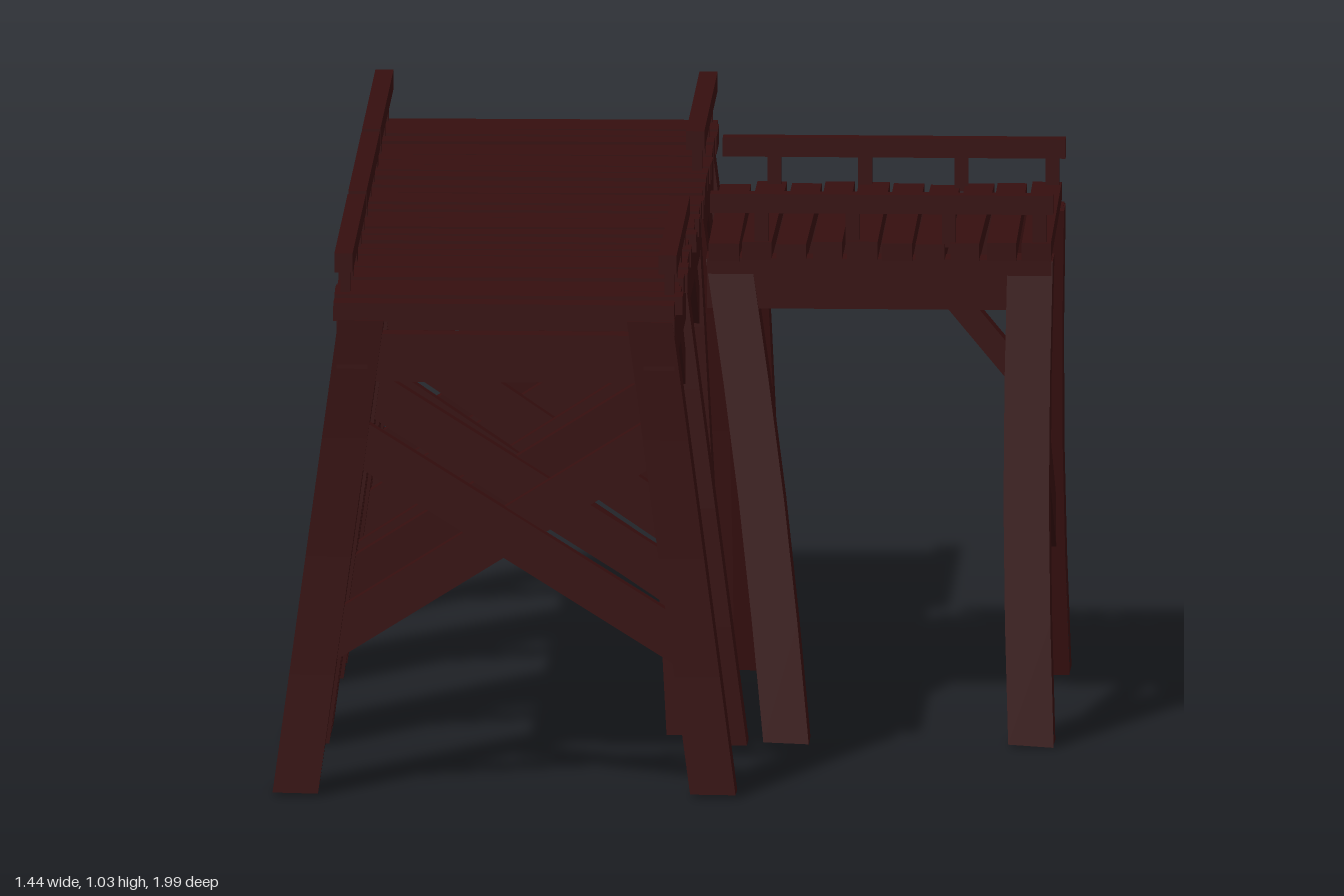
import * as THREE from 'three';

const wood = new THREE.MeshStandardMaterial({ color: 0x350e0e, flatShading: true });
const V = (x, y, z) => new THREE.Vector3(x, y, z);
const LEG_TOP = 0.91, LEG_FOOT = 0.01;

// Small seeded generator for hand-cut irregularity, -1..1
let seed = 7;
const jitter = (amount) => {
  seed = (seed * 16807) % 2147483647;
  return (seed / 2147483647 * 2 - 1) * amount;
};

function add(parent, name, geometry) {
  const mesh = new THREE.Mesh(geometry, wood);
  mesh.name = name;
  parent.add(mesh);
  return mesh;
}

// Straight timber from a to b: thick is sideways, high is upright
function timber(parent, name, a, b, thick, high) {
  const mesh = add(parent, name, new THREE.BoxGeometry(thick, high, a.distanceTo(b)));
  mesh.position.copy(a).lerp(b, 0.5);
  mesh.quaternion.setFromUnitVectors(V(0, 0, 1), V(0, 0, 1));
  const m = new THREE.Matrix4().lookAt(b, a, V(0, 1, 0));
  mesh.quaternion.setFromRotationMatrix(m);
  return mesh;
}

// Centre line of a splayed leg at height y, with a slight bow
function legPoint(leg, y) {
  const t = (LEG_TOP - y) / (LEG_TOP - LEG_FOOT);
  const bow = Math.sin(Math.PI * t) * 0.008;
  return V(
    THREE.MathUtils.lerp(leg.topX, leg.footX, t),
    y,
    THREE.MathUtils.lerp(leg.topZ, leg.footZ, t) - Math.sign(leg.topZ) * bow
  );
}

function addLeg(parent, leg) {
  const h = LEG_TOP - LEG_FOOT;
  const g = new THREE.BoxGeometry(0.085, h, 0.085, 1, 4, 1);
  g.translate(0, LEG_FOOT + h / 2, 0);
  const p = g.attributes.position;
  for (let i = 0; i < p.count; i++) {
    const c = legPoint(leg, p.getY(i));
    p.setX(i, p.getX(i) + c.x);
    p.setZ(i, p.getZ(i) + c.z);
    // Feet of leaning legs are cut a little askew
    if (p.getY(i) < 0.02) p.setY(i, LEG_FOOT + jitter(0.004));
  }
  add(parent, 'leg', g);
}

// One trestle platform, running along z; feet gives each foot's [x, z]
function makeSection(name, feet, railSides) {
  const section = new THREE.Group();
  section.name = name;

  const legs = feet.map(([footX, footZ]) => ({
    topX: Math.sign(footX) * 0.27, topZ: Math.sign(footZ) * 0.282, footX, footZ
  }));
  legs.forEach((leg) => addLeg(section, leg));

  // End frames: cross beam and crossed braces between each pair of legs
  for (const [l, r] of [[legs[0], legs[1]], [legs[2], legs[3]]]) {
    timber(section, 'crossBeam', legPoint(l, 0.835), legPoint(r, 0.835), 0.045, 0.09);
    for (const [from, to, dz] of [[l, r, 0.012], [r, l, -0.012]]) {
      const a = legPoint(from, 0.69), b = legPoint(to, 0.28);
      a.z += dz;
      b.z += dz;
      timber(section, 'crossBrace', a, b, 0.03, 0.08);
    }
  }

  for (const s of [-1, 1]) {
    // Long bearer under the planks, and its corner brace
    timber(section, 'sideBeam', V(s * 0.287, 0.865, 0.322), V(s * 0.287, 0.865, -0.322), 0.058, 0.095);
    timber(section, 'cornerBrace', V(s * 0.292, 0.84, -0.14), V(s * 0.3, 0.685, -0.27), 0.035, 0.045);
  }

  // Deck planks, slightly uneven
  const count = 10, pitch = 0.648 / count;
  for (let i = 0; i < count; i++) {
    const plank = add(section, 'deckPlank',
      new THREE.BoxGeometry(0.645 + jitter(0.008), 0.034, pitch - 0.009 + jitter(0.002)));
    plank.position.set(jitter(0.004), 0.927 + jitter(0.003), (i + 0.5) * pitch - 0.324);
    plank.rotation.y = jitter(0.008);
    plank.rotation.z = jitter(0.004);
  }

  // Low handrail on short posts
  for (const s of railSides) {
    const x = s * 0.303;
    timber(section, 'rail', V(x, 1.017, 0.316), V(x, 1.017, -0.325), 0.034, 0.036);
    for (const z of [0.22, 0.05, -0.13, -0.3]) {
      const post = add(section, 'railPost', new THREE.BoxGeometry(0.018, 0.075, 0.026));
      post.position.set(x, 0.972, z);
    }
  }
  return section;
}

export function createModel() {
  seed = 7;
  const model = new THREE.Group();
  model.name = 'trestleWalkway';

  // Feet order: start left, start right, end left, end right
  const front = makeSection('frontSection',
    [[-0.393, 0.278], [0.388, 0.278], [-0.393, -0.27], [0.388, -0.27]], [-1, 1]);
  front.position.set(-0.288, 0, 0.667);

  const middle = makeSection('middleSection',
    [[-0.393, 0.28], [0.318, 0.28], [-0.393, -0.285], [0.318, -0.285]], [-1]);
  middle.position.set(-0.288, 0, -0.005);

  const back = makeSection('backSection',
    [[-0.393, 0.205], [0.388, 0.205], [-0.393, -0.272], [0.388, -0.272]], [-1, 1]);
  back.position.set(-0.288, 0, -0.672);

  const side = makeSection('sideSection',
    [[-0.393, 0.255], [0.385, 0.17], [-0.393, -0.288], [0.385, -0.288]], [-1, 1]);
  side.rotation.y = -Math.PI / 2;
  side.position.set(0.385, 0, -0.005);

  model.add(front, middle, back, side);
  return model;
}
